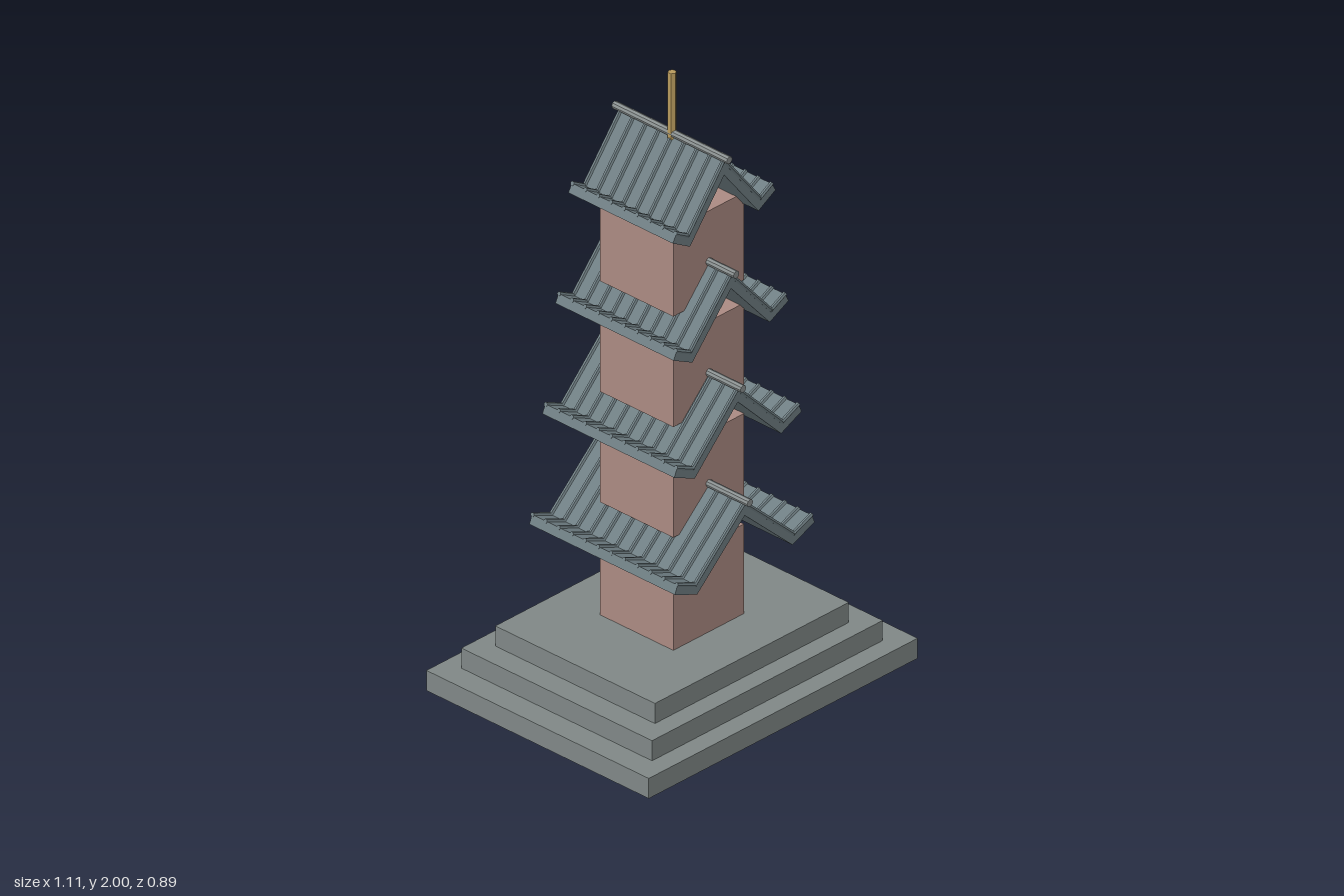
import * as THREE from 'three';

const mat = (color) => new THREE.MeshStandardMaterial({ color, flatShading: true });
const stone = mat(0x7f8786), wall = mat(0xab8a82), tile = mat(0x6f7e83);
const ridgeMat = mat(0x8a9090), gold = mat(0xb89a5c);

function add(parent, name, geometry, material, x = 0, y = 0, z = 0) {
  const mesh = new THREE.Mesh(geometry, material);
  mesh.name = name;
  mesh.position.set(x, y, z);
  parent.add(mesh);
  return mesh;
}

// Half roof line (apex, valley, eave tip) shifted by t along its normals
function roofLine(w, eave, t) {
  const p = [[0, 0.183], [w, 0], [w + eave, 0.034]].map(([x, y]) => new THREE.Vector2(x, y));
  const normal = (a, b) => {
    const d = b.clone().sub(a).normalize();
    return new THREE.Vector2(-d.y, d.x);
  };
  const n1 = normal(p[0], p[1]), n2 = normal(p[1], p[2]);
  return [
    new THREE.Vector2(0, p[0].y + t / n1.y),
    p[1].clone().addScaledVector(n1.clone().add(n2), t / (1 + n1.dot(n2))),
    p[2].clone().addScaledVector(n2, t),
  ];
}

const flip = (v) => new THREE.Vector2(-v.x, v.y);

// Round tile rib between two points of the roof line
function addRib(parent, a, b, z) {
  const d = b.clone().sub(a);
  const rib = add(parent, 'tileRib', new THREE.CylinderGeometry(0.007, 0.007, d.length() + 0.004, 6),
    tile, (a.x + b.x) / 2, (a.y + b.y) / 2, z);
  rib.rotation.z = Math.atan2(d.y, d.x) - Math.PI / 2;
}

function makeRoof(w, eave, halfZ) {
  const roof = new THREE.Group();
  roof.name = 'roof';
  const top = roofLine(w, eave, 0.015), under = roofLine(w, eave, -0.015);

  // Folded slab with upturned eaves
  const outline = [
    ...under.slice().reverse().map(flip), ...under.slice(1),
    ...top.slice().reverse(), ...top.slice(1).map(flip),
  ];
  const slab = new THREE.ExtrudeGeometry(new THREE.Shape(outline), { depth: 2 * halfZ, bevelEnabled: false });
  slab.translate(0, 0, -halfZ);
  add(roof, 'roofSlab', slab, tile);

  // Tile ribs on both slopes and both eaves
  const end = halfZ - 0.003;
  const gaps = Math.round((2 * end) / 0.052);
  for (let i = 0; i <= gaps; i++) {
    const z = -end + (2 * end * i) / gaps;
    for (const side of [top, top.map(flip)]) {
      addRib(roof, side[0], side[1], z);
      addRib(roof, side[1], side[2], z);
    }
  }

  // Ridge pole
  const ridge = add(roof, 'ridgePole', new THREE.CylinderGeometry(0.012, 0.012, 2 * (halfZ + 0.021), 8),
    ridgeMat, 0, top[0].y + 0.009, 0);
  ridge.rotation.x = Math.PI / 2;
  return roof;
}

export function createModel() {
  const model = new THREE.Group();
  model.name = 'pagoda';

  // Stepped base
  [[1.11, 0.886], [0.952, 0.76], [0.8, 0.636]].forEach(([w, d], i) =>
    add(model, 'baseStep', new THREE.BoxGeometry(w, 0.2 / 3, d), stone, 0, (i + 0.5) * 0.2 / 3, 0));

  // Four storeys, each with a smaller roof than the one below
  for (let i = 0; i < 4; i++) {
    const lift = i * 0.3667;
    const bottom = i ? 0.2075 + lift : 0.2, height = 0.497 + lift - bottom;
    add(model, 'storeyWall', new THREE.BoxGeometry(0.292, height, 0.292), wall, 0, bottom + height / 2, 0);
    const roof = makeRoof(0.2 - i * 0.0183, 0.083 - i * 0.0077, 0.29 - i * 0.0273);
    roof.position.y = 0.482 + lift;
    model.add(roof);
  }

  // Spire
  add(model, 'spire', new THREE.CylinderGeometry(0.013, 0.013, 0.22, 6), gold, 0, 1.89, 0);
  return model;
}
